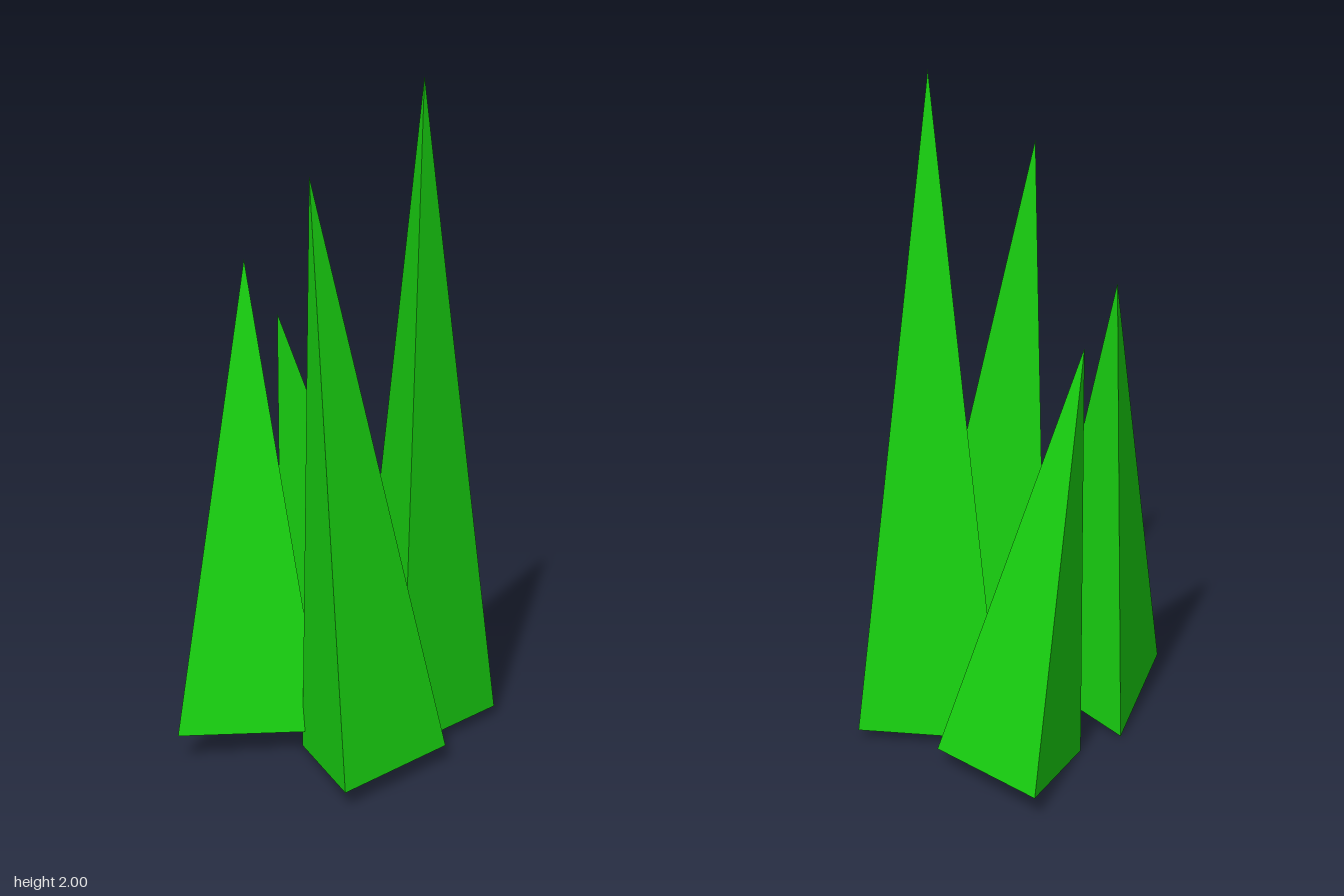
import * as THREE from 'three';

// One three-sided blade: a tip over a base triangle, corners counter-clockwise from above
function spike(name, tip, base, material) {
  const [a, b, c] = base;
  const faces = [a, b, tip, b, c, tip, c, a, tip, c, b, a];
  const geometry = new THREE.BufferGeometry();
  geometry.setAttribute('position', new THREE.Float32BufferAttribute(faces.flat(), 3));
  geometry.computeVertexNormals(); // unshared corners keep the facets flat
  const mesh = new THREE.Mesh(geometry, material);
  mesh.name = name;
  return mesh;
}

export function createModel() {
  const group = new THREE.Group();
  group.name = 'grassTuft';
  const green = new THREE.MeshStandardMaterial({ color: 0x18d010, flatShading: true });

  // Four leaning blades: tip, then base corners
  const blades = [
    ['frontLeftBlade', [0.13, 2, 0.24],
      [[-0.008, 0.03, 0.302], [0.422, 0.03, 0.302], [0.205, 0.03, -0.075]]],
    ['frontRightBlade', [-0.225, 1.75, 0.135],
      [[-0.37, 0.05, 0.408], [0.065, 0.05, 0.408], [-0.16, 0.01, 0.04]]],
    ['backRightBlade', [-0.062, 1.43, -0.286],
      [[-0.474, 0.08, -0.166], [-0.13, 0.065, 0.1], [-0.072, 0.006, -0.315]]],
    ['backLeftBlade', [0.035, 1.255, -0.245],
      [[0.065, 0, -0.267], [0.392, 0.05, 0.015], [0.472, 0.07, -0.411]]],
  ];
  for (const [name, tip, base] of blades) group.add(spike(name, tip, base, green));
  return group;
}
